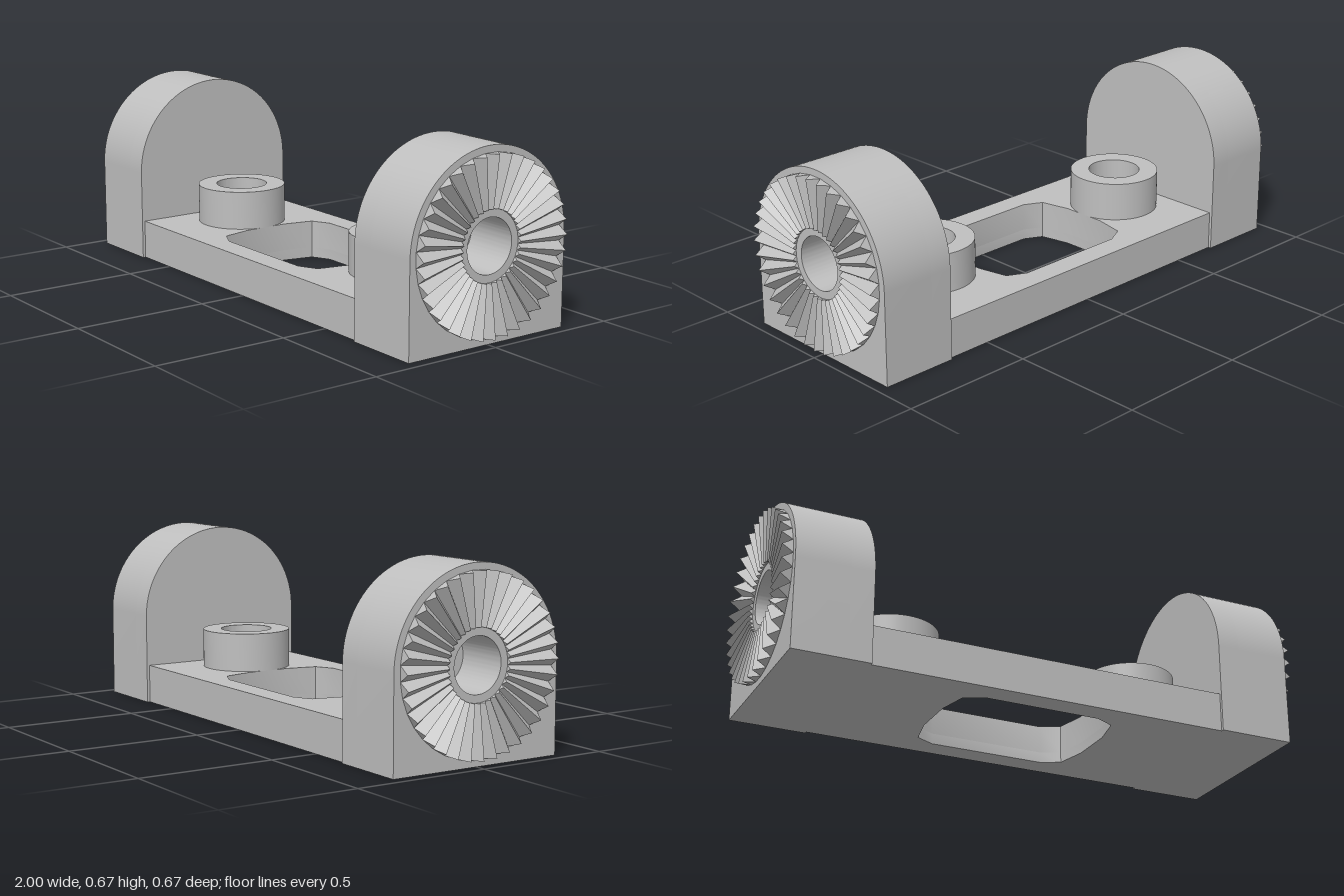
import * as THREE from 'three';
import { toCreasedNormals } from 'three/addons/utils/BufferGeometryUtils.js';

const grey = new THREE.MeshStandardMaterial({ color: 0xbfbfbf });
grey.name = 'grey';

const AXIS_Y = 0.336; // height of the toothed discs' axis
const BORE = 0.097;

function part(name, geometry) {
  const mesh = new THREE.Mesh(geometry, grey);
  mesh.name = name;
  return mesh;
}

function circle(x, y, r) {
  return new THREE.Path().absarc(x, y, r, 0, Math.PI * 2, true);
}

function extrude(shape, depth) {
  const geo = new THREE.ExtrudeGeometry(shape, { depth, bevelEnabled: false, curveSegments: 48 });
  return toCreasedNormals(geo, 0.6);
}

// Horizontal slab between two heights
function slab(shape, y0, y1) {
  return extrude(shape, y1 - y0).rotateX(-Math.PI / 2).translate(0, y0, 0);
}

// Upright slab between two x positions
function upright(shape, x0, x1) {
  return extrude(shape, x1 - x0).rotateY(Math.PI / 2).translate(x0, 0, 0);
}

// Base outline with its chamfered window
function baseShape() {
  const w = 0.68, d = 0.325;
  const shape = new THREE.Shape([[-w, -d], [w, -d], [w, d], [-w, d]].map((p) => new THREE.Vector2(...p)));
  const corner = [[0.315, 0.085], [0.29, 0.2], [0.22, 0.235]];
  const flipped = [...corner].reverse();
  const outline = [
    ...corner,
    ...flipped.map(([x, y]) => [-x, y]),
    ...corner.map(([x, y]) => [-x, -y]),
    ...flipped.map(([x, y]) => [x, -y]),
  ];
  shape.holes.push(new THREE.Path(outline.map((p) => new THREE.Vector2(...p))));
  return shape;
}

// Square-footed, round-topped end block
function archShape() {
  const r = 0.336;
  const shape = new THREE.Shape();
  shape.moveTo(-r, 0);
  shape.lineTo(r, 0);
  shape.lineTo(r, AXIS_Y);
  shape.absarc(0, AXIS_Y, r, 0, Math.PI, false);
  shape.closePath();
  return shape;
}

// Radial ring of V-shaped teeth that grow taller outward
function toothRing() {
  const count = 36, inner = 0.125, outer = 0.312, x0 = 0.96, height = 0.04;
  const half = Math.PI / count;
  const positions = [];
  const at = (a, r, ridge) => [
    x0 + (ridge ? height * r / outer : 0),
    AXIS_Y + r * Math.cos(a),
    r * Math.sin(a),
  ];
  const tri = (...pts) => pts.forEach((p) => positions.push(...p));
  for (let i = 0; i < count; i++) {
    const a = i * 2 * half;
    const [vi, vo] = [inner, outer].map((r) => at(a - half, r, false));
    const [ri, ro] = [inner, outer].map((r) => at(a, r, true));
    const [wi, wo] = [inner, outer].map((r) => at(a + half, r, false));
    tri(vi, vo, ro); tri(vi, ro, ri); // first flank
    tri(ri, ro, wo); tri(ri, wo, wi); // second flank
    tri(vo, wo, ro); // outer end
    tri(wi, vi, ri); // inner end
  }
  const geo = new THREE.BufferGeometry();
  geo.setAttribute('position', new THREE.Float32BufferAttribute(positions, 3));
  geo.computeVertexNormals();
  return geo;
}

function createEnd() {
  const end = new THREE.Group();
  // Solid inner portion closes the blind bore of the outer portion
  const bored = archShape();
  bored.holes.push(circle(0, AXIS_Y, BORE));
  end.add(part('blockInner', upright(archShape(), 0.675, 0.76)));
  end.add(part('blockBored', upright(bored, 0.76, 0.96)));
  end.add(part('toothRing', toothRing()));

  // Raised boss with a blind hole
  const boss = new THREE.Shape().absarc(0.48, 0, 0.167, 0, Math.PI * 2, false);
  boss.holes.push(circle(0.48, 0, BORE));
  end.add(part('boss', slab(boss, 0.145, 0.29)));
  return end;
}

export function createModel() {
  const model = new THREE.Group();
  model.name = 'toothedBracket';

  // Base: closed floor layer, then a layer carrying the boss holes
  const upper = baseShape();
  for (const s of [-1, 1]) upper.holes.push(circle(s * 0.48, 0, BORE));
  model.add(part('baseFloor', slab(baseShape(), 0, 0.04)));
  model.add(part('basePlate', slab(upper, 0.04, 0.145)));

  const left = createEnd();
  left.name = 'leftEnd';
  const right = createEnd();
  right.name = 'rightEnd';
  right.rotation.y = Math.PI;
  model.add(left, right);
  return model;
}
